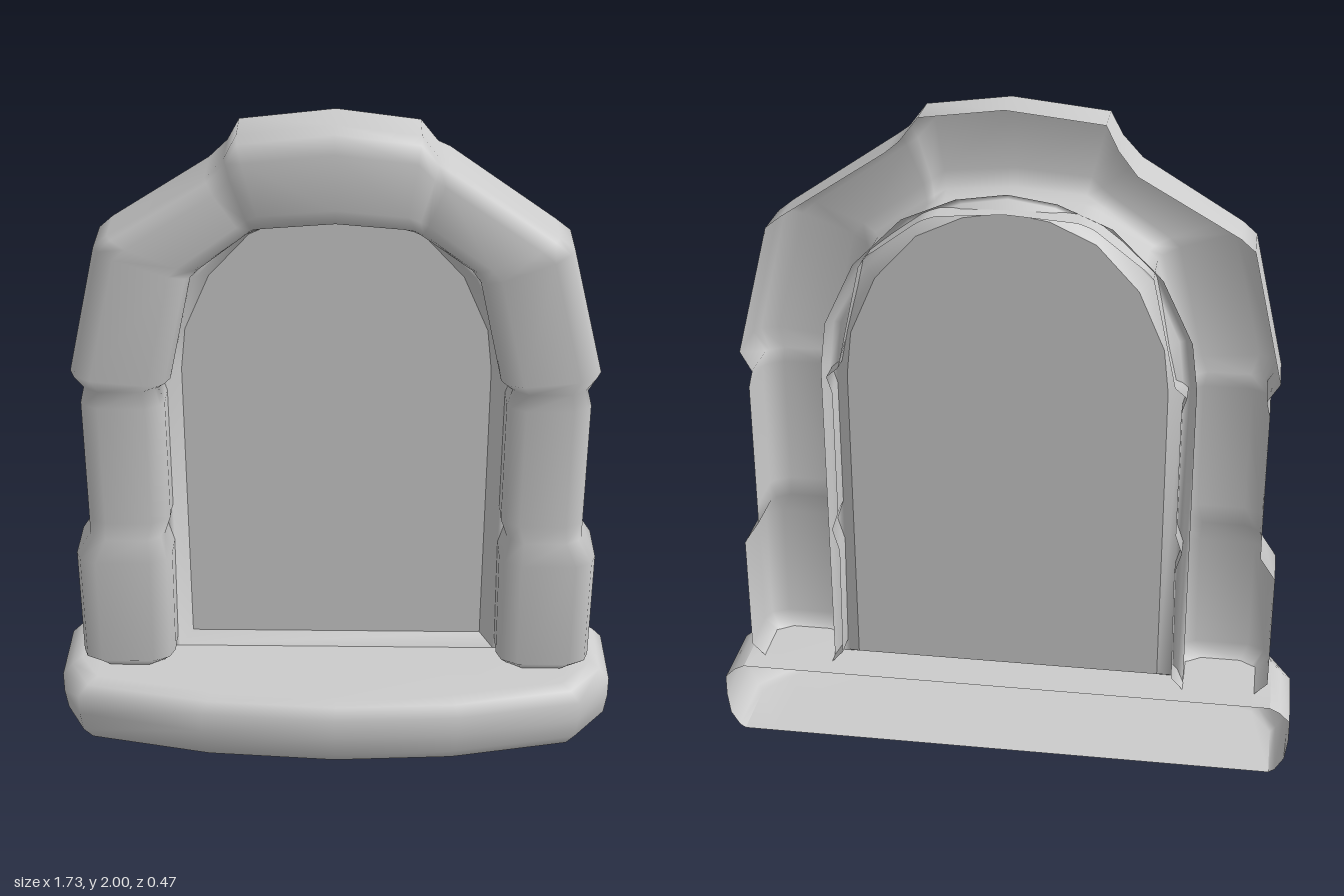
import * as THREE from 'three';

const stone = new THREE.MeshStandardMaterial({ color: 0xcccccc, side: THREE.DoubleSide });

// Smooth open skin through rows of [x, y, z] points
function skin(rows, name) {
  const n = rows[0].length, index = [];
  for (let r = 0; r < rows.length - 1; r++) {
    for (let c = 0; c < n - 1; c++) {
      const a = r * n + c, b = a + n;
      index.push(a, b, a + 1, b, b + 1, a + 1);
    }
  }
  const g = new THREE.BufferGeometry();
  g.setAttribute('position', new THREE.Float32BufferAttribute(rows.flat(2), 3));
  g.setIndex(index);
  g.computeVertexNormals();
  const mesh = new THREE.Mesh(g, stone);
  mesh.name = name;
  return mesh;
}

// Arch stones: outer x, y, inner x, y, front z, from the left foot over the top to the right foot
const upperLeft = [
  [0.735, 1.2, 0.515, 1.2, 0.015], [0.768, 1.26, 0.48, 1.23, 0.04],
  [0.67, 1.64, 0.41, 1.54, 0.03], [0.625, 1.675, 0.385, 1.575, 0.03],
  [0.32, 1.88, 0.24, 1.68, 0.02],
];
const keystone = [
  [0.285, 1.905, 0.22, 1.69, 0.025], [0.235, 1.97, 0.19, 1.70, 0.045],
  [0, 2, 0, 1.715, 0.045],
  [-0.27, 1.97, -0.2, 1.70, 0.045], [-0.305, 1.905, -0.23, 1.69, 0.025],
];
const upperRight = [
  [-0.36, 1.845, -0.25, 1.68, 0.02], [-0.64, 1.675, -0.385, 1.575, 0.03],
  [-0.68, 1.64, -0.41, 1.55, 0.03], [-0.77, 1.255, -0.48, 1.23, 0.045],
  [-0.735, 1.2, -0.515, 1.2, 0.015],
];
// Pillar on one side: y, outer x, inner x, front z
const pillar = [
  [0.231, 0.755, 0.54, 0.01], [0.27, 0.793, 0.505, 0.045], [0.63, 0.793, 0.5, 0.045],
  [0.7, 0.747, 0.52, 0.025], [0.76, 0.747, 0.5, 0.025], [1.15, 0.747, 0.5, 0.025],
];
const pillarSide = (s) => pillar.map(([y, o, i, z]) => [s * o, y, s * i, y, z]);

function arch() {
  const stations = [...pillarSide(1), ...upperLeft, ...keystone, ...upperRight, ...pillarSide(-1).reverse()];
  const rows = stations.map(([ox, oy, ix, iy, zf]) => {
    // The stones beside the keystone reach further back
    const shoulder = Math.abs(ox) > 0.31 && oy > 1.8;
    const back = shoulder ? -0.195 : oy > 1.95 ? -0.158 : -0.168;
    // t runs across the stone from its outer to its inner edge
    return [[0, back], [0, -0.02], [0.05, zf - 0.025], [0.22, zf], [0.78, zf], [0.95, zf - 0.025], [1, -0.02], [1, -0.175]]
      .map(([t, z]) => [ox + (ix - ox) * t, oy + (iy - oy) * t, z]);
  });
  return skin(rows, 'stoneArch');
}

// Bowed sill with rounded edges, open at the back
function sill() {
  const back = -0.236;
  const outline = [[0.865, back], [0.865, 0], [0.76, 0.13], [0.38, 0.212], [0, 0.235],
    [-0.41, 0.205], [-0.8, 0.12], [-0.865, 0], [-0.865, back]];
  const rows = [[0, 0.94, 0], [0, 0.94, 0.88], [0.012, 0.96, 0.93], [0.055, 0.99, 0.99], [0.12, 1, 1], [0.185, 1, 1],
    [0.215, 0.965, 0.94], [0.23, 0.93, 0.87], [0.23, 0.93, 0]];
  return skin(rows.map(([y, kx, kz]) =>
    outline.map(([x, z]) => [x * kx, y, back + (z - back) * kz])), 'sill');
}

// Outline of the round-headed opening, widened by grow
function opening(grow, bottom) {
  const half = [[0.46, 1.2], [0.445, 1.33], [0.37, 1.5], [0.25, 1.63], [0.12, 1.69]];
  const right = half.map(([x, y]) => [x * (1 + grow / 0.46), y + grow * (y - 1.1)]);
  return [[0.46 + grow, bottom], ...right, [0, 1.71 + grow * 0.6],
    ...right.map(([x, y]) => [-x, y]).reverse(), [-0.46 - grow, bottom]];
}

// Thin frame behind the stones, sloping inward to the pane
function frame() {
  const rows = [[0.08, 0.212, -0.135], [0.06, 0.215, -0.1], [0.04, 0.232, -0.1], [0, 0.26, -0.145]].map(([grow, bottom, z]) => {
    const pts = opening(grow, bottom);
    return [...pts, pts[0]].map(([x, y]) => [x, y, z]);
  });
  return skin(rows.reverse(), 'windowFrame');
}

export function createModel() {
  const group = new THREE.Group();
  group.name = 'archedWindow';

  // Flat pane
  const outline = opening(0, 0.26).map(([x, y]) => new THREE.Vector2(x, y));
  const pane = new THREE.Mesh(new THREE.ShapeGeometry(new THREE.Shape(outline)), stone);
  pane.position.z = -0.145;
  pane.name = 'windowPane';

  group.add(arch(), sill(), frame(), pane);
  return group;
}
